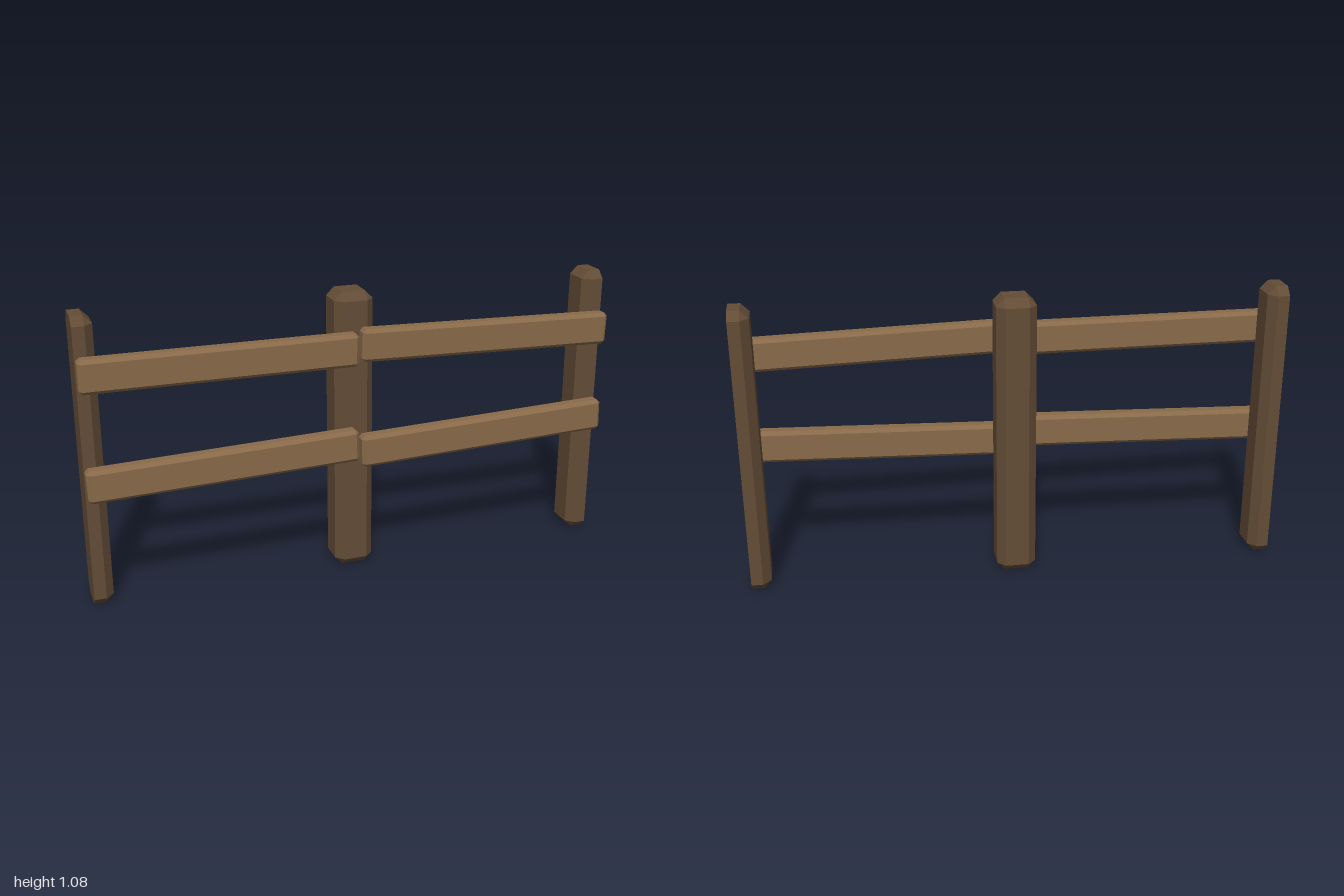
import * as THREE from 'three';
import { ConvexGeometry } from 'three/addons/geometries/ConvexGeometry.js';

const postMaterial = new THREE.MeshStandardMaterial({ color: 0x634c36, flatShading: true });
const railMaterial = new THREE.MeshStandardMaterial({ color: 0x886a49, flatShading: true });

// Box centred on the origin with every edge chamfered by c.
// cut = 1 or -1 slices it at x = 0 and drops the half on that side.
function chamferBox(w, h, d, c, cut = 0) {
  const points = [];
  for (const sx of [-1, 1]) for (const sy of [-1, 1]) for (const sz of [-1, 1]) {
    const x = sx * w / 2, y = sy * h / 2, z = sz * d / 2;
    const xi = sx === cut ? 0 : x - sx * c, yi = y - sy * c, zi = z - sz * c;
    if (sx !== cut) points.push(new THREE.Vector3(x, yi, zi));
    points.push(new THREE.Vector3(xi, y, zi), new THREE.Vector3(xi, yi, z));
  }
  return new ConvexGeometry(points);
}

export function createModel() {
  const fence = new THREE.Group();
  fence.name = 'fence';

  // Posts: a whole one in the middle, half posts sliced flat at the ends
  const height = 1.076;
  for (const [name, x, cut] of [['rightPost', -0.999, -1], ['centrePost', -0.003, 0], ['leftPost', 0.993, 1]]) {
    const post = new THREE.Mesh(chamferBox(0.147, height, 0.148, 0.03, cut), postMaterial);
    post.name = name;
    post.position.set(x, height / 2, -0.029);
    fence.add(post);
  }

  // Rails: slightly tilted planks on the front of the posts
  // [name, centre x, height at the -x end, height at the +x end]
  const rails = [
    ['upperRightRail', -0.502, 0.884, 0.88],
    ['upperLeftRail', 0.499, 0.893, 0.865],
    ['lowerRightRail', -0.502, 0.486, 0.516],
    ['lowerLeftRail', 0.499, 0.486, 0.516],
  ];
  for (const [name, x, y0, y1] of rails) {
    const rail = new THREE.Mesh(chamferBox(0.99, 0.122, 0.06, 0.013), railMaterial);
    rail.name = name;
    rail.position.set(x, (y0 + y1) / 2, 0.075);
    rail.rotation.z = Math.atan2(y1 - y0, 0.99);
    fence.add(rail);
  }
  return fence;
}
